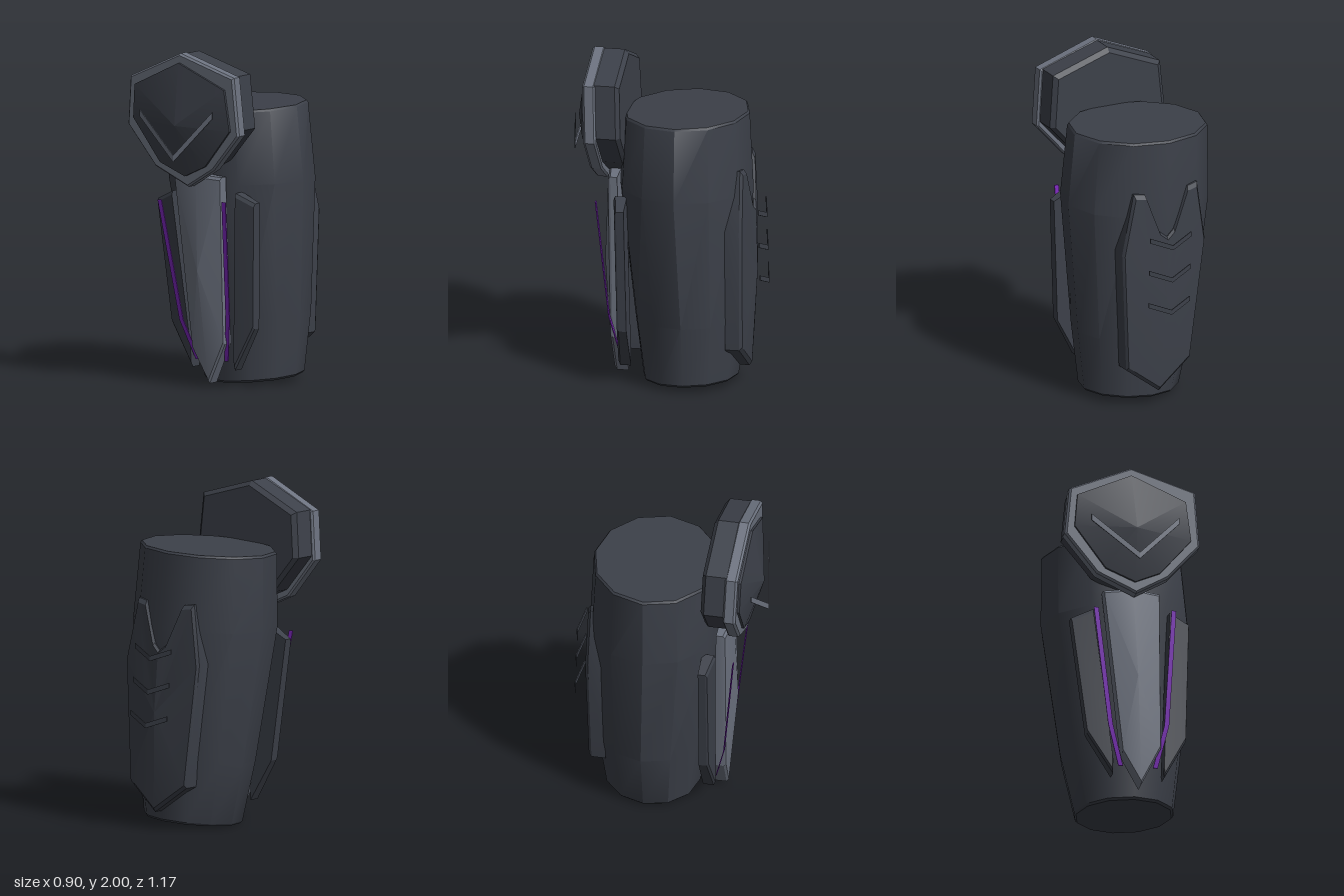
import * as THREE from 'three';
import { toCreasedNormals } from 'three/addons/utils/BufferGeometryUtils.js';

const V = (x, y, z) => new THREE.Vector3(x, y, z);
const average = ring => ring.reduce((s, p) => s.add(p), V(0, 0, 0)).divideScalar(ring.length);

// Skin over a list of closed rings, with a fan cap at each end
function loft(rings, startCentre, endCentre, crease = 0.3) {
  const pos = [];
  const tri = (...pts) => pts.forEach(p => pos.push(p.x, p.y, p.z));
  const n = rings[0].length;
  const first = rings[0], last = rings[rings.length - 1];
  const c0 = startCentre || average(first), c1 = endCentre || average(last);
  for (let j = 0; j < n; j++) {
    const k = (j + 1) % n;
    for (let i = 0; i < rings.length - 1; i++) {
      const a = rings[i], b = rings[i + 1];
      tri(a[j], a[k], b[k]);
      tri(a[j], b[k], b[j]);
    }
    tri(c0, first[k], first[j]);
    tri(c1, last[j], last[k]);
  }
  const g = new THREE.BufferGeometry();
  g.setAttribute('position', new THREE.Float32BufferAttribute(pos, 3));
  return toCreasedNormals(g, crease);
}

// Plate from an outline (counter-clockwise from the front); each layer is [inset scale, z rule]
function plate(outline, [cx, cy], layers, crease) {
  const rings = layers.map(([s, z]) => outline.map(([x, y]) => {
    const px = cx + (x - cx) * s, py = cy + (y - cy) * s;
    return V(px, py, z(px, py));
  }));
  const z0 = layers[0][1], z1 = layers[layers.length - 1][1];
  return loft(rings, V(cx, cy, z0(cx, cy)), V(cx, cy, z1(cx, cy)), crease);
}

// Thin painted strip along a path, widened by the offset u
function strip(path, u) {
  const w = V(0, 0, 0.003);
  return loft(path.map(([x, y, z]) => {
    const p = V(x, y, z);
    return [p.clone().add(u).sub(w), p.clone().add(u).add(w), p.clone().sub(u).add(w), p.clone().sub(u).sub(w)];
  }));
}

export function createModel() {
  const model = new THREE.Group();
  const material = (name, color) => {
    const m = new THREE.MeshStandardMaterial({ color });
    m.name = name;
    return m;
  };
  const dark = material('charcoal', 0x3c4049);
  const grey = material('steelGrey', 0x6c727f);
  const purple = material('purple', 0x7d28bd);
  const add = (name, geometry, mat) => {
    const mesh = new THREE.Mesh(geometry, mat);
    mesh.name = name;
    model.add(mesh);
  };
  const ridge = y => 0.06 - 0.05 * y; // the whole leg leans slightly

  // Leg core: twelve-sided, [y, centre x, centre z, radius x, radius z, tilt x, tilt z]
  const sections = [
    [0.022, 0.06, -0.125, 0.288, 0.272, 0.058, -0.05],
    [0.035, 0.06, -0.125, 0.30, 0.285, 0.058, -0.05],
    [0.40, 0.037, -0.122, 0.363, 0.335, 0.05, -0.03],
    [1.20, -0.003, -0.087, 0.448, 0.40, 0.04, 0],
    [1.635, -0.025, -0.085, 0.425, 0.376, 0.04, -0.03],
    [1.648, -0.025, -0.085, 0.415, 0.366, 0.04, -0.03],
  ];
  add('legCore', loft(sections.map(([y, cx, cz, rx, rz, tx, tz]) =>
    Array.from({ length: 12 }, (_, i) => {
      const a = i * Math.PI / 6, dx = rx * Math.cos(a), dz = -rz * Math.sin(a);
      return V(cx + dx, y + tx * dx + tz * dz, cz + dz);
    })), null, null, 0.56), dark);

  // Knee guard: backing block, rim and pointed face
  const rim = [[-0.04, 2], [-0.41, 1.835], [-0.435, 1.545], [-0.24, 1.31],
    [0, 1.205], [0.19, 1.32], [0.38, 1.54], [0.35, 1.885]];
  const face = [[-0.04, 1.945], [-0.365, 1.79], [-0.38, 1.59], [-0.19, 1.34],
    [-0.01, 1.27], [0.14, 1.34], [0.325, 1.565], [0.29, 1.81]];
  const kneeCentre = [-0.025, 1.6];
  const lean = z => (x, y) => z + 0.035 * (y - 1.6);
  const block = rim.map(([x, y]) => [-0.025 + (x + 0.025) * 0.955, 1.622 + (y - 1.6) * 0.93]);
  add('kneeBlock', plate(block, kneeCentre,
    [[0.93, lean(0.252)], [1, lean(0.275)], [1, lean(0.41)]]), dark);
  add('kneeRim', plate(rim, kneeCentre,
    [[0.97, lean(0.392)], [1, lean(0.402)], [1, lean(0.455)], [0.97, lean(0.468)]]), grey);
  const faceRing = z => face.map(([x, y]) => V(x, y, lean(z)(x, y)));
  add('kneeFace', loft([faceRing(0.45), faceRing(0.482)], null, V(-0.02, 1.58, 0.56), 0.35), dark);
  add('kneeChevron', strip([[-0.29, 1.63, 0.535], [-0.01, 1.388, 0.583], [0.24, 1.66, 0.535]],
    V(0, 0.02, 0)), grey);

  // Central shin blade, folded along its ridge
  const bladeZ = (x, y) => 0.395 - (y > 0.7 ? 0.036 : 0.097) * Math.abs(y - 0.7)
    - 0.13 * Math.abs(x - ridge(y));
  const blade = [[-0.002, 1.27], [-0.175, 1.25], [-0.055, 0.22], [0.06, 0.025], [0.178, 0.27], [0.165, 1.262]];
  add('shinBlade', plate(blade, [ridge(0.7), 0.7], [
    [1, (x, y) => 0.245 + 0.055 * Math.min(1, y / 0.7)],
    [1, (x, y) => bladeZ(x, y) - 0.012],
    [0.97, bladeZ]]), grey);

  // Side shin plates and their purple strips
  const sides = {
    left: {
      outline: [[0.235, 1.17], [0.205, 0.14], [0.212, 0.11], [0.345, 0.365], [0.36, 1.115]],
      centre: [0.28, 0.7],
      line: [[0.155, 0.16, 0.28], [0.21, 0.415, 0.34], [0.235, 1.13, 0.415]],
    },
    right: {
      outline: [[-0.225, 1.145], [-0.355, 1.085], [-0.255, 0.355], [-0.098, 0.105], [-0.098, 0.2]],
      centre: [-0.23, 0.7],
      line: [[-0.055, 0.155, 0.28], [-0.13, 0.39, 0.34], [-0.235, 1.105, 0.415]],
    },
  };
  for (const [side, { outline, centre, line }] of Object.entries(sides)) {
    const z = (x, y) => 0.278 + 0.032 * y - 0.2 * Math.max(0, Math.abs(x - ridge(y)) - 0.2);
    add(side + 'ShinPlate', plate(outline, centre, [
      [1, (x, y) => 0.205 + 0.02 * y],
      [1, (x, y) => z(x, y) - 0.01],
      [0.95, z]]), dark);
    add(side + 'PurpleStrip', strip(line, V(-0.014, 0, 0)), purple);
  }

  // Calf plate with a notched top, folded along its ridge
  const half = [[0.05, 1.11], [0.145, 1.35], [0.215, 1.36], [0.28, 1.0], [0.215, 0.26]];
  const at = (dx, y) => [ridge(y) + dx, y];
  const calf = [at(0, 1.07), ...half.map(([x, y]) => at(-x, y)), at(0, 0.1),
    ...half.map(([x, y]) => at(x, y)).reverse()];
  const calfZ = (x, y) => -0.52 + 0.15 * Math.abs(x - ridge(y)) + 0.05 * Math.abs(y - 0.75);
  add('calfPlate', plate(calf, [ridge(0.7), 0.7], [
    [0.96, calfZ],
    [1, (x, y) => calfZ(x, y) + 0.015],
    [1, (x, y) => calfZ(x, y) + 0.1]]), dark);

  // Three raised chevrons behind the calf
  for (let i = 0; i < 3; i++) {
    const y = 1.085 - 0.2 * i, z = -0.54 - 0.008 * i, x = 0.012 + 0.01 * i;
    add('calfChevron' + (i + 1), strip([[x - 0.14, y - 0.005, z], [x, y - 0.055, z - 0.03],
      [x + 0.14, y + 0.005, z]], V(0, 0.015, 0)), dark);
  }
  return model;
}
